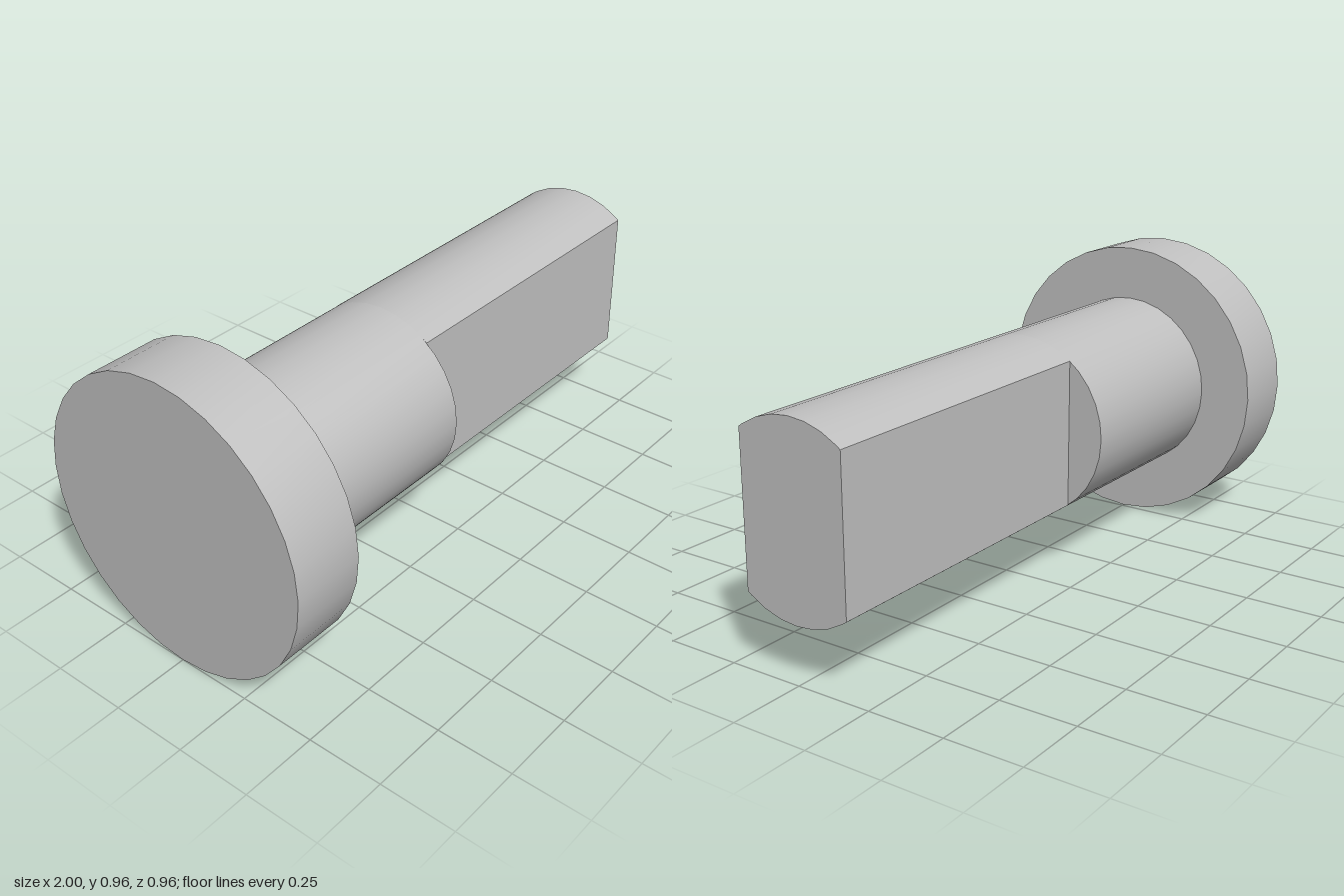
import * as THREE from 'three';
import { toCreasedNormals } from 'three/addons/utils/BufferGeometryUtils.js';

const SIDES = 32;

// Outline of a round bar, optionally cut by two flats at +-flat
function outline(radius, flat = radius) {
  const step = (2 * Math.PI) / SIDES;
  if (flat >= radius) {
    return Array.from({ length: SIDES }, (_, i) =>
      new THREE.Vector2(radius * Math.cos(i * step), radius * Math.sin(i * step)));
  }
  const start = Math.acos(flat / radius);
  const angles = [start];
  for (let i = 1; i < SIDES / 2; i++) {
    const a = i * step;
    if (a > start && a < Math.PI - start) angles.push(a);
  }
  angles.push(Math.PI - start);
  const top = angles.map(a => new THREE.Vector2(radius * Math.cos(a), radius * Math.sin(a)));
  return [...top, ...top.map(p => p.clone().negate())];
}

// Straight bar along x with smooth rounds and sharp edges
function bar(name, points, x0, x1, y, z, material) {
  const extruded = new THREE.ExtrudeGeometry(new THREE.Shape(points), {
    depth: x1 - x0, bevelEnabled: false, steps: 1,
  });
  extruded.rotateY(Math.PI / 2);
  const mesh = new THREE.Mesh(toCreasedNormals(extruded, Math.PI / 6), material);
  mesh.name = name;
  mesh.position.set(x0, y, z);
  return mesh;
}

export function createModel() {
  const steel = new THREE.MeshStandardMaterial({ color: 0xc0c0c0 });
  steel.name = 'grey steel';

  const group = new THREE.Group();
  group.name = 'headed pin';
  group.add(
    // Wide disc head
    bar('head', outline(0.48), -1, -0.76, 0.481, 0, steel),
    // Round part of the shaft
    bar('roundShaft', outline(0.3), -0.76, -0.085, 0.482, -0.003, steel),
    // End of the shaft with flats on front and back
    bar('flattedShaft', outline(0.3, 0.18), -0.085, 1, 0.482, -0.003, steel),
  );
  return group;
}
